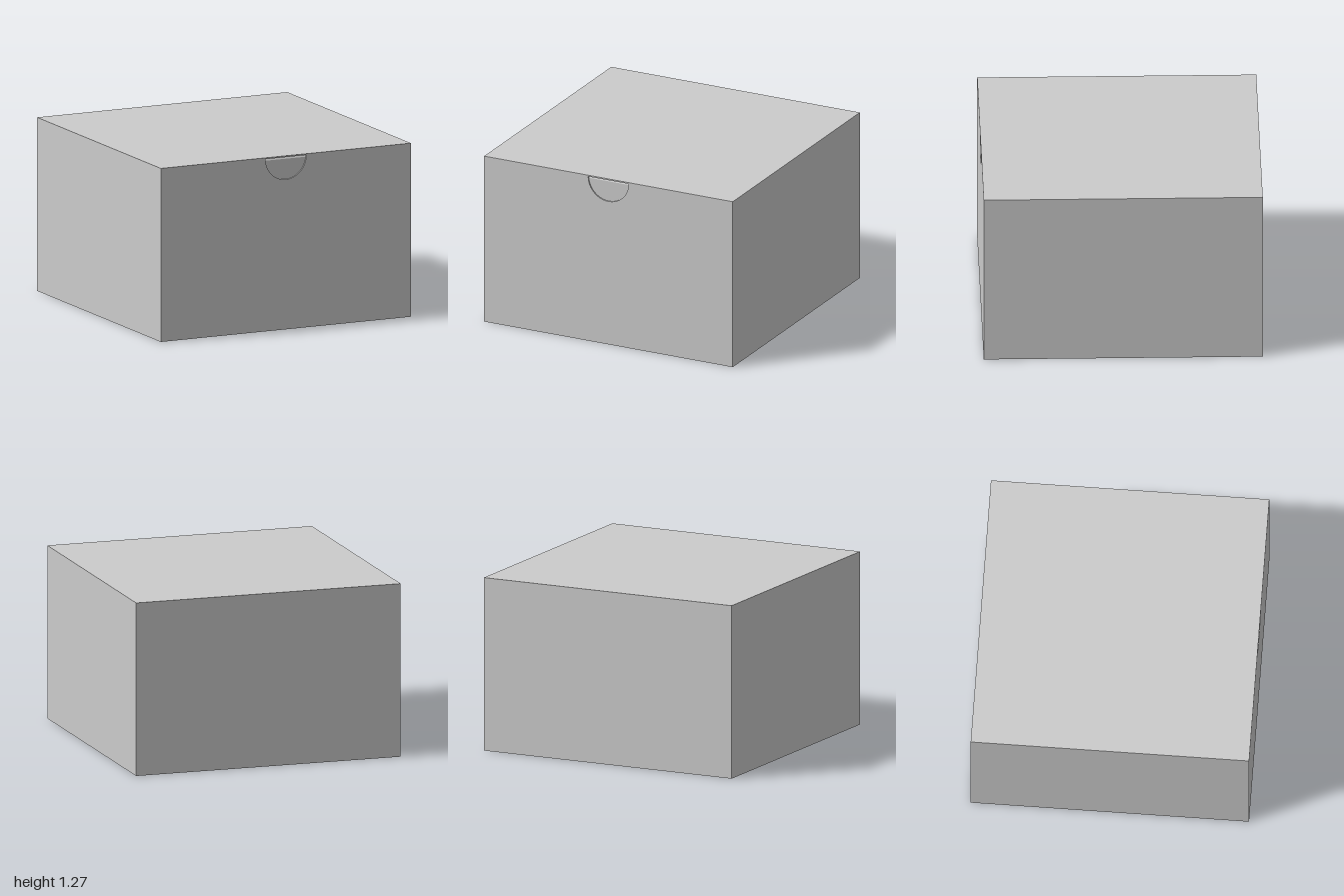
import * as THREE from 'three';

const SIZE = 2, HEIGHT = 1.27, T = 0.01, RIM = HEIGHT - T;
const NOTCH = 0.163;

export function createModel() {
  const box = new THREE.Group();
  box.name = 'cartonBox';
  const card = new THREE.MeshStandardMaterial({ color: 0xcccccc, flatShading: true });

  const add = (name, geometry, x = 0, y = 0, z = 0) => {
    const mesh = new THREE.Mesh(geometry, card);
    mesh.name = name;
    mesh.position.set(x, y, z);
    box.add(mesh);
    return mesh;
  };
  const panel = (name, w, h, d, x, y, z) => add(name, new THREE.BoxGeometry(w, h, d), x, y, z);

  // Base, back, sides and lid
  const edge = SIZE / 2 - T / 2;
  const inner = SIZE - 2 * T;
  panel('base', inner, T, inner, 0, T / 2, 0);
  panel('backWall', SIZE, RIM, T, 0, RIM / 2, -edge);
  panel('leftWall', T, RIM, inner, edge, RIM / 2, 0);
  panel('rightWall', T, RIM, inner, -edge, RIM / 2, 0);
  panel('lid', SIZE, T, SIZE, 0, RIM + T / 2, 0);

  // Front wall with a half-round thumb notch in its rim
  const front = new THREE.Shape();
  front.moveTo(-SIZE / 2, 0);
  front.lineTo(SIZE / 2, 0);
  front.lineTo(SIZE / 2, RIM);
  front.lineTo(NOTCH, RIM);
  front.absarc(0, RIM, NOTCH, 0, -Math.PI, true);
  front.lineTo(-SIZE / 2, RIM);
  front.closePath();
  add('frontWall', new THREE.ExtrudeGeometry(front, { depth: T, bevelEnabled: false, curveSegments: 24 }),
    0, 0, SIZE / 2 - T);

  // Tuck flap: folds down from the lid behind the front wall, profile in z and y
  const flapWidth = inner - 0.02;
  const profile = new THREE.Shape([
    [0.965, RIM], [0.965, 0.95], [0.985, 0.95], [0.985, 1.245], [0.975, RIM],
  ].map(([z, y]) => new THREE.Vector2(z, y)));
  const flap = new THREE.ExtrudeGeometry(profile, { depth: flapWidth, bevelEnabled: false });
  flap.rotateY(-Math.PI / 2);
  add('tuckFlap', flap, flapWidth / 2);

  return box;
}
